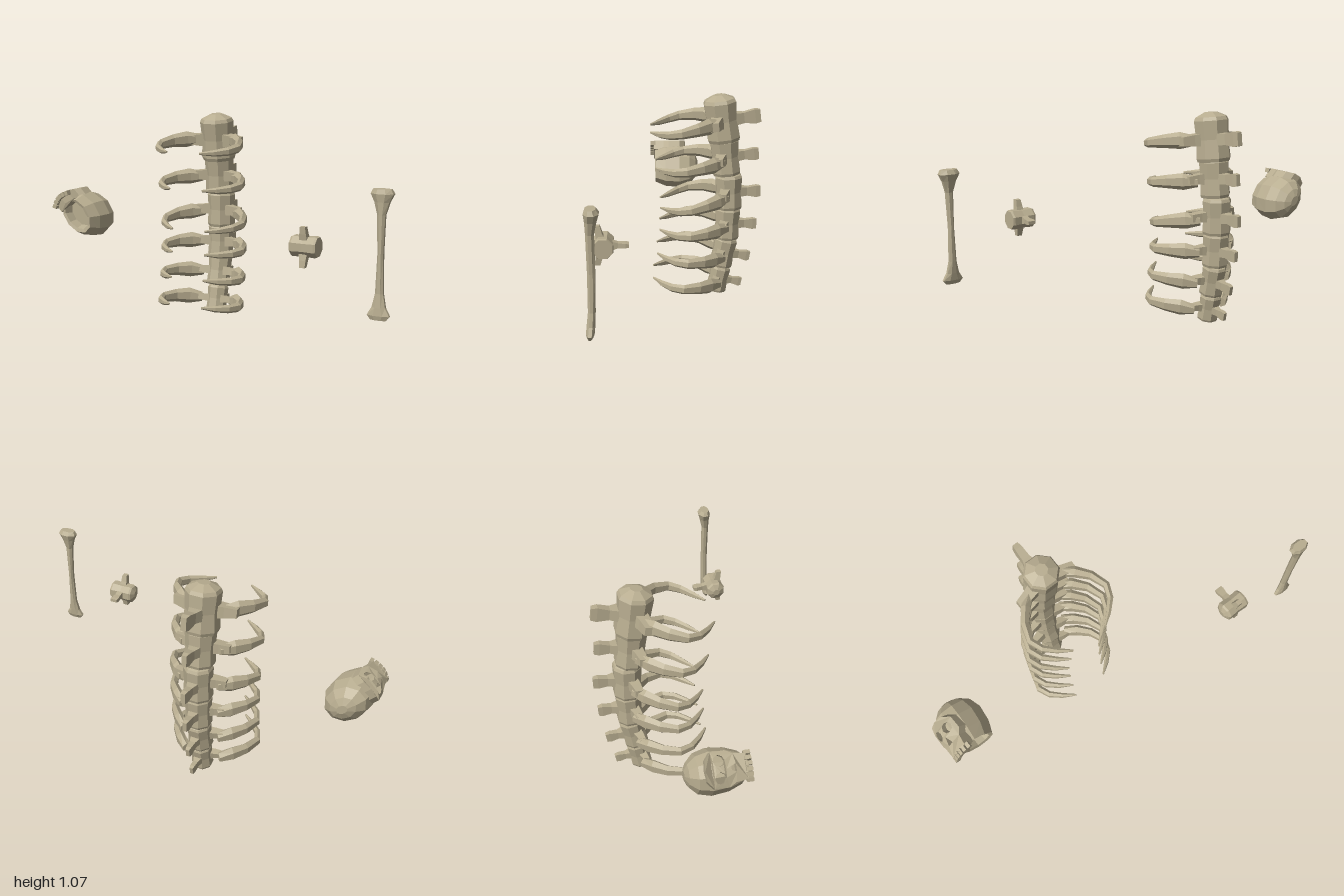
import * as THREE from 'three';

const V = (x, y, z) => new THREE.Vector3(x, y, z);
const X = V(1, 0, 0), Y = V(0, 1, 0), Z = V(0, 0, 1);
const bone = new THREE.MeshStandardMaterial({ color: 0xb8ad90, flatShading: true, roughness: 0.9 });

function mesh(name, geometry) {
  const m = new THREE.Mesh(geometry, bone);
  m.name = name;
  return m;
}

// Faceted ring around c; u cross v points along the loft direction
function ring(c, u, v, a, b, n) {
  const k = 1 / Math.cos(Math.PI / n);
  return Array.from({ length: n }, (_, i) => {
    const t = ((i + 0.5) / n) * Math.PI * 2;
    return c.clone().addScaledVector(u, a * k * Math.cos(t)).addScaledVector(v, b * k * Math.sin(t));
  });
}

// Skin joining successive rings, closed at both ends
function loft(rings) {
  const pts = [], n = rings[0].length;
  const tri = (...p) => p.forEach(q => pts.push(q.x, q.y, q.z));
  const mid = r => r.reduce((s, p) => s.add(p), V(0, 0, 0)).divideScalar(n);
  const last = rings[rings.length - 1];
  const m0 = mid(rings[0]), m1 = mid(last);
  for (let j = 0; j < n; j++) {
    const k = (j + 1) % n;
    for (let i = 0; i + 1 < rings.length; i++) {
      const r = rings[i], s = rings[i + 1];
      tri(r[j], r[k], s[k]);
      tri(r[j], s[k], s[j]);
    }
    tri(m0, rings[0][k], rings[0][j]);
    tri(m1, last[j], last[k]);
  }
  const g = new THREE.BufferGeometry();
  g.setAttribute('position', new THREE.Float32BufferAttribute(pts, 3));
  g.computeVertexNormals();
  return g;
}

const mirror = rings => rings.map(r => r.map(p => V(-p.x, p.y, p.z)).reverse());

// Body with a back spine and two side wings swept forward
function vertebra(scale) {
  const g = new THREE.Group();
  g.name = 'vertebra';
  const body = [[-0.095, 0.066], [-0.08, 0.071], [0, 0.066], [0.08, 0.071], [0.095, 0.064], [0.115, 0.025]];
  g.add(mesh('vertebraBody', loft(body.map(([y, r]) => ring(V(0, y, 0), Z, X, r, r, 8)))));

  const spine = [[-0.05, 0.035, 0.027], [-0.1, 0.018, 0.023], [-0.15, 0.016, 0.032], [-0.174, 0.012, 0.028]];
  g.add(mesh('backSpine', loft(spine.map(([z, w, h]) => ring(V(0, 0, z), Y, X, h, w, 4)))));

  const wing = [[0.04, 0.03, 0.015], [0.09, 0.024, 0.03], [0.14, 0.019, 0.04]]
    .map(([x, h, z]) => ring(V(x, 0, z), Y, Z, h, h, 4));
  g.add(mesh('leftWing', loft(wing)), mesh('rightWing', loft(mirror(wing))));
  g.scale.setScalar(scale);
  return g;
}

// Curved pair of ribs: x, z, half height, half thickness along the path
function ribPair() {
  const path = [
    [0.09, -0.02, 0.022, 0.022], [0.145, 0.025, 0.036, 0.022], [0.195, 0.085, 0.029, 0.018],
    [0.224, 0.165, 0.022, 0.016], [0.2, 0.225, 0.019, 0.014], [0.15, 0.275, 0.014, 0.011],
    [0.093, 0.32, 0.005, 0.004]];
  const rings = path.map(([x, z, h, w], i) => {
    const a = path[Math.max(i - 1, 0)], b = path[Math.min(i + 1, path.length - 1)];
    const along = V(b[0] - a[0], 0, b[1] - a[1]).normalize();
    const lift = 0.006 * Math.sin(i);
    return ring(V(x, lift, z), Y.clone().cross(along), Y, w, h, 6);
  });
  const g = new THREE.Group();
  g.name = 'ribPair';
  g.add(mesh('leftRib', loft(rings)), mesh('rightRib', loft(mirror(rings))));
  return g;
}

function skull() {
  const g = new THREE.Group();
  g.name = 'skull';
  // Cranium with a hollow underside: y, half width, half depth, z
  const shell = [
    [-0.07, 0.045, 0.07, -0.01], [-0.115, 0.055, 0.085, -0.01], [-0.12, 0.07, 0.1, -0.015],
    [-0.06, 0.092, 0.122, -0.018], [0.02, 0.1, 0.128, -0.02], [0.08, 0.085, 0.108, -0.02],
    [0.115, 0.052, 0.07, -0.02], [0.13, 0.02, 0.03, -0.02]];
  g.add(mesh('cranium', loft(shell.map(([y, w, d, z]) => ring(V(0, y, z), Z, X, d, w, 10)))));

  // Face plate with eye and nose openings, wrapped around the front
  const face = new THREE.Shape([[-0.055, -0.125], [0, -0.13], [0.055, -0.125], [0.062, -0.07], [0.08, -0.04],
    [0.078, 0.025], [0.045, 0.055], [0, 0.06], [-0.045, 0.055], [-0.078, 0.025], [-0.08, -0.04], [-0.062, -0.07]]
    .map(p => new THREE.Vector2(...p)));
  for (const s of [-1, 1]) {
    const eye = new THREE.Path();
    eye.absarc(s * 0.037, -0.004, 0.026, 0, Math.PI * 2, true);
    face.holes.push(eye);
  }
  face.holes.push(new THREE.Path([[0, -0.032], [0.018, -0.075], [-0.018, -0.075]].map(p => new THREE.Vector2(...p))));
  const plate = new THREE.ExtrudeGeometry(face, { depth: 0.06, bevelEnabled: false, curveSegments: 4 });
  const pos = plate.attributes.position;
  const bend = x => 5 * x * x;
  for (let i = 0; i < pos.count; i++) pos.setZ(i, pos.getZ(i) + 0.075 - bend(pos.getX(i)));
  plate.computeVertexNormals();
  g.add(mesh('face', plate));

  // Upper teeth
  for (let i = 0; i < 6; i++) {
    const x = (i - 2.5) * 0.022;
    const tooth = mesh('tooth', new THREE.BoxGeometry(0.018, 0.03, 0.024));
    tooth.position.set(x, -0.133, 0.118 - bend(x));
    tooth.rotation.y = x * 9;
    g.add(tooth);
  }
  // Lying with the face turned up and to the side
  const f = Math.SQRT1_2;
  g.quaternion.setFromRotationMatrix(new THREE.Matrix4().makeBasis(V(f, f, 0), V(0, 0, -1), V(-f, f, 0)));
  g.position.set(-0.86, 0.54, 0.003);
  return g;
}

// Limb bone with flared ends: y, half width, half depth, z
function longBone() {
  const rows = [
    [0.265, 0.035, 0.012, 0.41], [0.285, 0.05, 0.018, 0.408], [0.32, 0.03, 0.018, 0.405],
    [0.38, 0.018, 0.016, 0.4], [0.55, 0.013, 0.017, 0.398], [0.72, 0.018, 0.018, 0.4],
    [0.775, 0.033, 0.025, 0.395], [0.81, 0.05, 0.032, 0.392], [0.83, 0.04, 0.022, 0.395]];
  return mesh('longBone', loft(rows.map(([y, w, d, z]) => ring(V(0.945, y, z), Z, X, d, w, 8))));
}

export function createModel() {
  const model = new THREE.Group();
  model.name = 'bones';

  // Spine and ribs: y, z, scale, tilt, rib y, rib pitch
  const column = new THREE.Group();
  column.name = 'ribCage';
  const levels = [
    [0.945, -0.215, 1.15, 0.12, 0.94, 0.11], [0.755, -0.235, 1, 0.08, 0.74, 0.07],
    [0.567, -0.255, 0.96, 0, 0.55, 0.13], [0.395, -0.25, 0.89, -0.05, 0.39, 0],
    [0.233, -0.232, 0.82, -0.2, 0.228, -0.1], [0.083, -0.207, 0.72, -0.2, 0.085, -0.12]];
  for (const [y, z, scale, tilt, ribY, pitch] of levels) {
    const v = vertebra(scale);
    v.position.set(0, y, z);
    v.rotation.x = tilt;
    const ribs = ribPair();
    ribs.position.set(0, ribY, z + 0.04 * scale);
    ribs.rotation.x = pitch;
    column.add(v, ribs);
  }
  column.position.x = -0.17;

  // Single vertebra lying on its side
  const loose = vertebra(0.66);
  loose.name = 'looseVertebra';
  loose.position.set(0.585, 0.545, 0.365);
  loose.rotation.z = Math.PI / 2;

  model.add(column, skull(), loose, longBone());
  return model;
}
